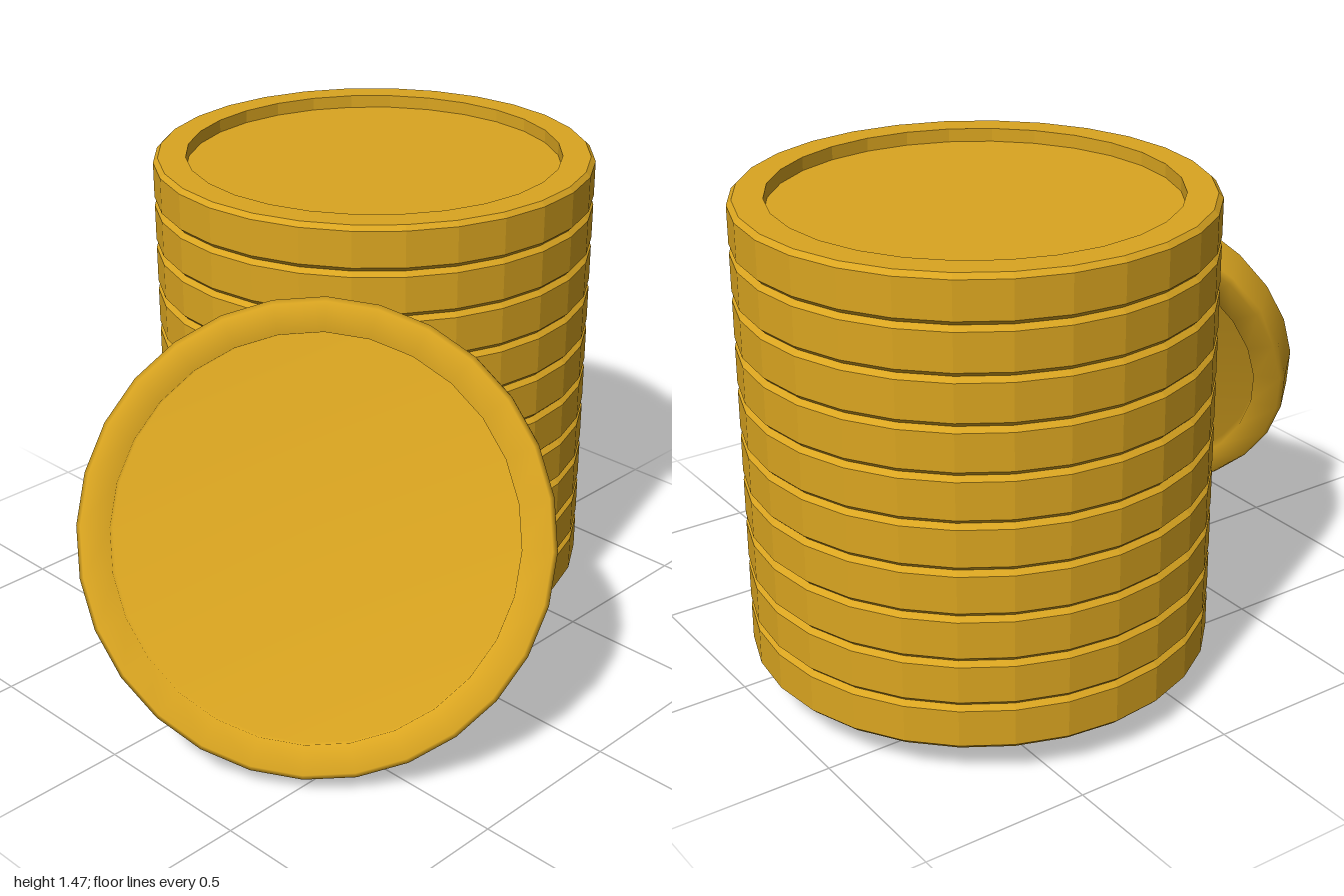
import * as THREE from 'three';

const SIDES = 28;
const RADIUS = 0.68;
const THICKNESS = 0.1375;
const COINS = 10;

// Coin turned around y: chamfered edge, raised rim and a recessed face on both sides
function coinGeometry() {
  const h = THICKNESS / 2;
  const bevel = 0.014;
  const rim = 0.58;
  const floor = h - 0.04;
  const half = [[0, floor], [rim, floor], [rim, h], [RADIUS - bevel, h], [RADIUS, h - bevel]];
  const lower = half.map(([r, y]) => new THREE.Vector2(r, -y));
  const upper = half.map(([r, y]) => new THREE.Vector2(r, y)).reverse();
  return new THREE.LatheGeometry([...lower, ...upper], SIDES);
}

export function createModel() {
  const model = new THREE.Group();
  model.name = 'coinPile';

  const gold = 0xdaa520;
  const faceted = new THREE.MeshStandardMaterial({ color: gold, flatShading: true });
  const smooth = new THREE.MeshStandardMaterial({ color: gold });
  const geometry = coinGeometry();

  // Upright stack
  const stack = new THREE.Group();
  stack.name = 'coinStack';
  stack.position.set(0.313, 0.105, -0.225);
  for (let i = 0; i < COINS; i++) {
    const coin = new THREE.Mesh(geometry, faceted);
    coin.name = `stackedCoin${i + 1}`;
    coin.position.y = (i + 0.5) * THICKNESS;
    stack.add(coin);
  }
  model.add(stack);

  // Single coin leaning against the stack, its face turned up, left and forward
  const leaning = new THREE.Mesh(geometry, smooth);
  leaning.name = 'leaningCoin';
  leaning.position.set(-0.478, 0.645, 0.315);
  const facing = new THREE.Vector3(-0.7, 0.42, 0.57).normalize();
  leaning.quaternion.setFromUnitVectors(new THREE.Vector3(0, 1, 0), facing);
  model.add(leaning);

  return model;
}
